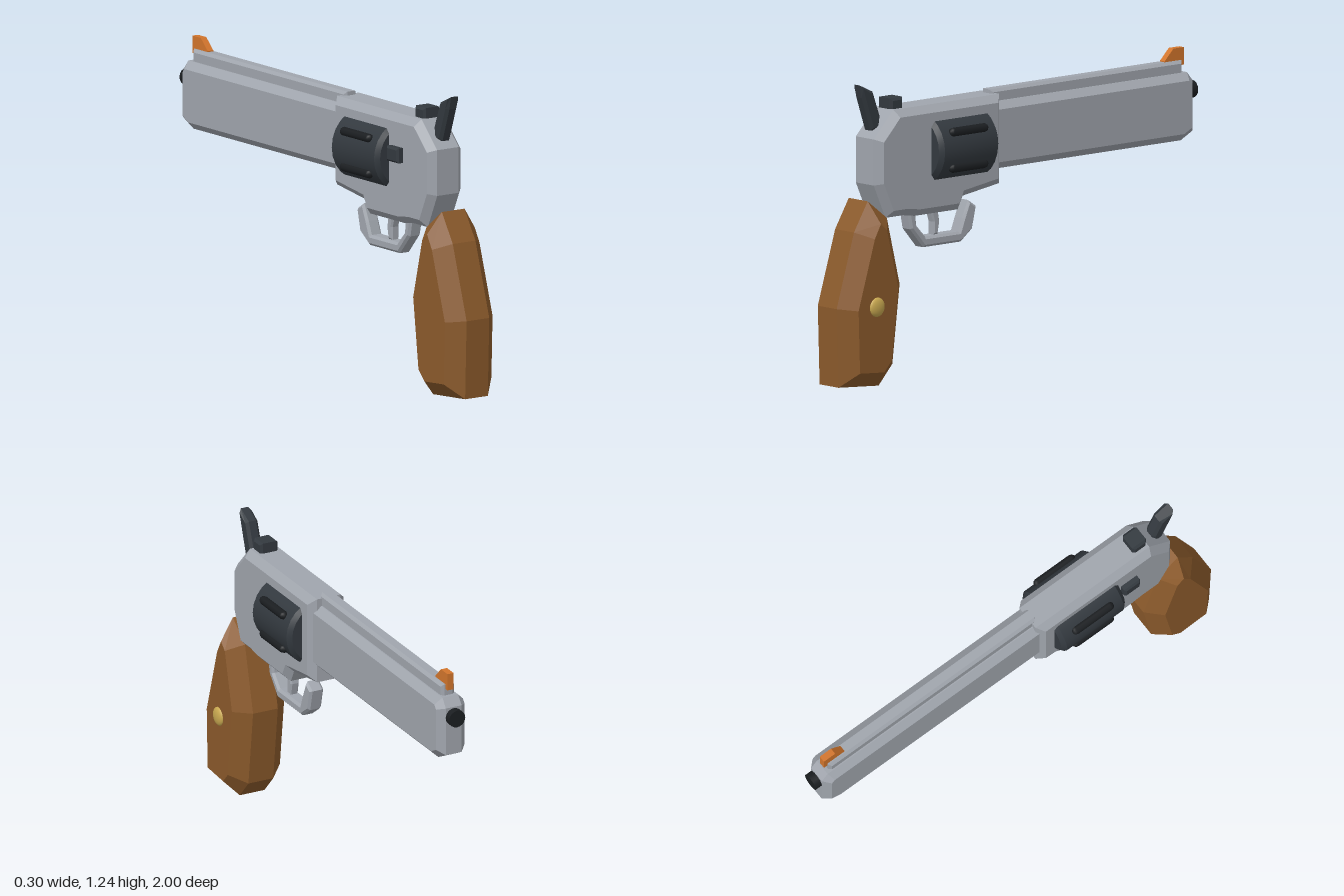
import * as THREE from 'three';
import { toCreasedNormals } from 'three/addons/utils/BufferGeometryUtils.js';

const material = (name, color) => {
  const m = new THREE.MeshStandardMaterial({ color });
  m.name = name;
  return m;
};

export function createModel() {
  const model = new THREE.Group();
  model.name = 'toyRevolver';

  const steel = material('steel', 0xa0a5ad);
  const wood = material('wood', 0x8b5a2b);
  const gunmetal = material('gunmetal', 0x33393f);
  const black = material('black', 0x1b1e21);
  const orange = material('orange', 0xd2752c);
  const brass = material('brass', 0xc8a850);

  const add = (name, geometry, mat, x = 0, y = 0, z = 0) => {
    const mesh = new THREE.Mesh(geometry, mat);
    mesh.name = name;
    mesh.position.set(x, y, z);
    model.add(mesh);
    return mesh;
  };

  // Side profile of [z, y] points, extruded across x with a single chamfer.
  const slab = (name, points, halfWidth, bevel, mat, x = 0) => {
    const shape = new THREE.Shape(points.map(([z, y]) => new THREE.Vector2(z, y)));
    const depth = 2 * (halfWidth - bevel);
    const geometry = new THREE.ExtrudeGeometry(shape, {
      depth, bevelEnabled: bevel > 0, bevelSegments: 1,
      bevelSize: bevel, bevelThickness: bevel, bevelOffset: -bevel,
    });
    geometry.translate(0, 0, -depth / 2).rotateY(-Math.PI / 2);
    return add(name, geometry, mat, x);
  };
  const rect = (z0, z1, y0, y1) => [[z0, y0], [z1, y0], [z1, y1], [z0, y1]];

  // Frame
  slab('frame', [
    [0.794, 1.02], [0.687, 1.13], [0.107, 1.13], [0.107, 0.762], [0.307, 0.733],
    [0.334, 0.68], [0.57, 0.68], [0.634, 0.69], [0.73, 0.69], [0.794, 0.83],
  ], 0.084, 0.03, steel);

  // Barrel, rib and muzzle
  slab('barrel', [
    [0.15, 0.82], [-0.905, 0.82], [-0.97, 0.853], [-0.97, 1.06], [-0.94, 1.097], [0.15, 1.097],
  ], 0.066, 0.03, steel);
  slab('topRib', rect(0.13, -0.925, 1.085, 1.146), 0.031, 0.012, steel);
  const muzzle = new THREE.CylinderGeometry(0.037, 0.037, 0.06, 16).rotateX(Math.PI / 2);
  add('muzzle', toCreasedNormals(muzzle, 0.6), black, 0, 1.018, -0.97);

  // Sights
  slab('frontSight', [
    [-0.837, 1.125], [-0.837, 1.15], [-0.885, 1.197], [-0.942, 1.197], [-0.942, 1.125],
  ], 0.014, 0, orange);
  slab('rearSight', rect(0.687, 0.617, 1.12, 1.174), 0.041, 0.01, gunmetal);

  // Drum with chamfered rims
  const drumY = 0.943, drumZ = 0.3425, drumR = 0.148;
  const drumProfile = [[0, -0.1625], [0.13, -0.1625], [drumR, -0.145],
    [drumR, 0.145], [0.13, 0.1625], [0, 0.1625]].map(([r, h]) => new THREE.Vector2(r, h));
  const drum = new THREE.LatheGeometry(drumProfile, 24).rotateX(Math.PI / 2);
  add('drum', toCreasedNormals(drum, 0.5), gunmetal, 0, drumY, drumZ);

  // Raised bars around the drum
  for (let i = 0; i < 6; i++) {
    const a = Math.PI / 6 + i * Math.PI / 3;
    const bar = new THREE.CapsuleGeometry(0.019, 0.17, 3, 8).rotateX(Math.PI / 2);
    add('drumBar' + (i + 1), bar, black,
      Math.cos(a) * drumR, drumY + Math.sin(a) * drumR, drumZ);
  }

  // Hammer and side latch
  slab('hammer', [
    [0.837, 1.243], [0.767, 1.21], [0.728, 1.105], [0.735, 1.05], [0.778, 1.05], [0.826, 1.19],
  ], 0.028, 0.012, gunmetal);
  slab('latch', rect(0.6, 0.52, 0.938, 1.0), 0.02, 0.008, gunmetal, -0.093);

  // Trigger and open guard
  slab('triggerGuard', [
    [0.585, 0.71], [0.567, 0.62], [0.495, 0.538], [0.29, 0.538], [0.227, 0.585], [0.206, 0.676],
    [0.25, 0.705], [0.281, 0.635], [0.302, 0.581], [0.484, 0.581], [0.533, 0.632], [0.54, 0.71],
  ], 0.032, 0.01, steel);
  slab('trigger', [
    [0.455, 0.71], [0.433, 0.635], [0.433, 0.582], [0.408, 0.582], [0.398, 0.632], [0.412, 0.71],
  ], 0.02, 0.007, steel);

  // Grip with a domed medallion on its left side
  slab('grip', [
    [0.83, 0.77], [0.905, 0.65], [1.0, 0.345], [0.99, 0.02],
    [0.77, 0.004], [0.695, 0.085], [0.655, 0.41], [0.725, 0.69],
  ], 0.12, 0.063, wood);
  const dome = new THREE.SphereGeometry(0.04, 20, 12).scale(0.4, 1, 1);
  add('medallion', dome, brass, 0.119, 0.342, 0.835);

  return model;
}
